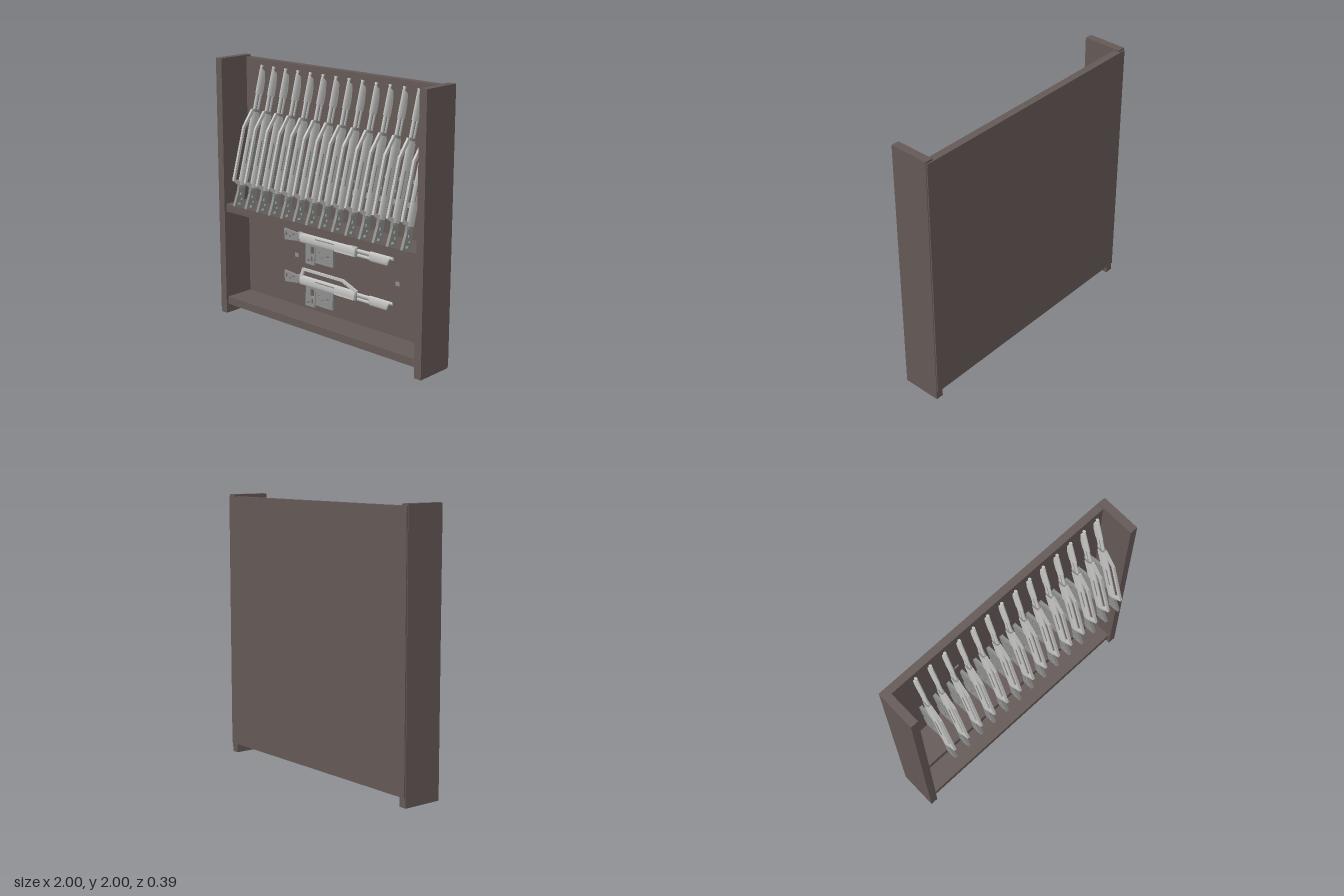
import * as THREE from 'three';

const wood = new THREE.MeshStandardMaterial({ color: 0x645957 });
wood.name = 'dark wood';
const metal = new THREE.MeshStandardMaterial({ color: 0xc2c3c1 });
metal.name = 'light metal';
const grey = new THREE.MeshStandardMaterial({ color: 0x8c8e8c });
grey.name = 'grey furniture';

function add(parent, name, geometry, material) {
  const mesh = new THREE.Mesh(geometry, material);
  mesh.name = name;
  parent.add(mesh);
}

// box spanning x0..x1 and y0..y1, centred on z with the given depth
function bar(x0, x1, y0, y1, depth, z = 0) {
  return new THREE.BoxGeometry(x1 - x0, y1 - y0, depth).translate((x0 + x1) / 2, (y0 + y1) / 2, z);
}

// tube along x with an oval section; slant leans the front end back at the bottom
function oval(x0, x1, y, ry, rz, slant = 0) {
  const g = new THREE.CylinderGeometry(1, 1, x1 - x0, 16).rotateZ(-Math.PI / 2);
  g.translate((x0 + x1) / 2, 0, 0).scale(1, ry, rz);
  const p = g.attributes.position;
  for (let i = 0; i < p.count; i++) {
    if (p.getX(i) > x1 - 0.001) p.setX(i, p.getX(i) + p.getY(i) * slant);
  }
  return g.translate(0, y, 0);
}

// closed outline from x, y pairs
function outline(path, ...xy) {
  path.moveTo(xy[0], xy[1]);
  for (let i = 2; i < xy.length; i += 2) path.lineTo(xy[i], xy[i + 1]);
  path.closePath();
  return path;
}

// rectangular cut-out
function cut(shape, x, y, w, h) {
  shape.holes.push(outline(new THREE.Path(), x, y, x + w, y, x + w, y + h, x, y + h));
}

function plate(shape, depth) {
  return new THREE.ExtrudeGeometry(shape, { depth, bevelEnabled: false }).translate(0, 0, -depth / 2);
}

// rifle along x with the muzzle at +x and the handle at +y
function makeRifle() {
  const rifle = new THREE.Group();

  // body and barrel
  add(rifle, 'receiver', oval(-0.39, 0.2, 0, 0.04, 0.015), metal);
  for (const y of [0.017, -0.016]) add(rifle, 'barrelTube', oval(0.19, 0.33, y, 0.014, 0.01), metal);
  add(rifle, 'tubeCore', bar(0.19, 0.33, -0.02, 0.02, 0.01), grey);
  add(rifle, 'shroud', oval(0.32, 0.495, 0, 0.038, 0.014, 0.5), metal);
  add(rifle, 'muzzle', oval(0.49, 0.522, 0.024, 0.008, 0.008), metal);
  add(rifle, 'muzzleRing', oval(0.52, 0.535, 0.024, 0.013, 0.011), metal);
  for (const x of [-0.395, 0.183]) add(rifle, 'band', oval(x, x + 0.02, 0, 0.041, 0.016), grey);
  add(rifle, 'upperRail', bar(-0.21, -0.02, 0.014, 0.022, 0.0316), grey);
  add(rifle, 'lowerRail', bar(-0.02, 0.17, -0.034, -0.014, 0.027), metal);

  // open carry handle
  add(rifle, 'carryHandle', plate(outline(new THREE.Shape(),
    -0.38, 0.03, -0.352, 0.1, 0.06, 0.1, 0.2, 0.045, 0.2, 0.03,
    0.17, 0.03, 0.05, 0.08, -0.335, 0.08, -0.348, 0.03), 0.018), metal);

  // stock, grip and magazine with cut-outs
  const stock = outline(new THREE.Shape(), -0.535, -0.047, -0.385, -0.03, -0.385, 0.034, -0.42, 0.03, -0.54, 0.042);
  cut(stock, -0.522, -0.012, 0.017, 0.032);
  cut(stock, -0.485, -0.02, 0.015, 0.014);
  cut(stock, -0.45, 0, 0.02, 0.014);
  add(rifle, 'stock', plate(stock, 0.022), grey);

  const grip = outline(new THREE.Shape(), -0.316, -0.19, -0.222, -0.19, -0.212, -0.025, -0.312, -0.025);
  cut(grip, -0.262, -0.105, 0.036, 0.058);
  cut(grip, -0.295, -0.17, 0.02, 0.02);
  cut(grip, -0.255, -0.165, 0.015, 0.04);
  add(rifle, 'grip', plate(grip, 0.02), grey);

  const magazine = outline(new THREE.Shape(), -0.212, -0.16, -0.034, -0.16, -0.034, -0.03, -0.212, -0.03);
  cut(magazine, -0.18, -0.085, 0.02, 0.01);
  cut(magazine, -0.15, -0.12, 0.02, 0.012);
  cut(magazine, -0.1, -0.105, 0.03, 0.015);
  add(rifle, 'magazine', plate(magazine, 0.022), grey);
  add(rifle, 'magazineLip', bar(-0.215, -0.032, -0.165, -0.153, 0.026), grey);
  return rifle;
}

export function createModel() {
  const model = new THREE.Group();
  model.name = 'displayRack';

  // cabinet
  add(model, 'backPanel', bar(-0.995, 0.995, 0.07, 1.985, 0.055, -0.1725), wood);
  add(model, 'leftSide', bar(0.94, 1, 0, 2, 0.3, -0.04), wood);
  add(model, 'rightSide', bar(-1, -0.94, 0, 2, 0.3, -0.04), wood);
  add(model, 'middleShelf', bar(-0.94, 0.94, 0.82, 0.88, 0.24, -0.03), wood);
  add(model, 'bottomShelf', bar(-0.94, 0.94, 0.07, 0.13, 0.24, -0.03), wood);

  // small wall plates
  for (const y of [1.49, 0.53]) {
    for (const x of [-0.415, 0.575]) {
      add(model, 'wallPlate', bar(x - 0.018, x + 0.018, y - 0.015, y + 0.015, 0.006, -0.143), grey);
    }
  }

  // two rifles on the wall
  const rifle = makeRifle();
  for (const y of [0.68, 0.345]) {
    const copy = rifle.clone();
    copy.name = 'wallRifle';
    copy.position.set(0, y, -0.14);
    model.add(copy);
  }

  // row standing on the shelf, leaning back
  const c = Math.cos(0.28), s = Math.sin(0.28);
  const lean = new THREE.Matrix4().makeBasis(
    new THREE.Vector3(0, c, -s), new THREE.Vector3(0, s, c), new THREE.Vector3(1, 0, 0));
  for (let i = 0; i < 14; i++) {
    const copy = rifle.clone();
    copy.name = 'standingRifle';
    copy.quaternion.setFromRotationMatrix(lean);
    copy.position.set(-0.753 + i * 0.125, 1.424, -0.003);
    model.add(copy);
  }
  return model;
}
